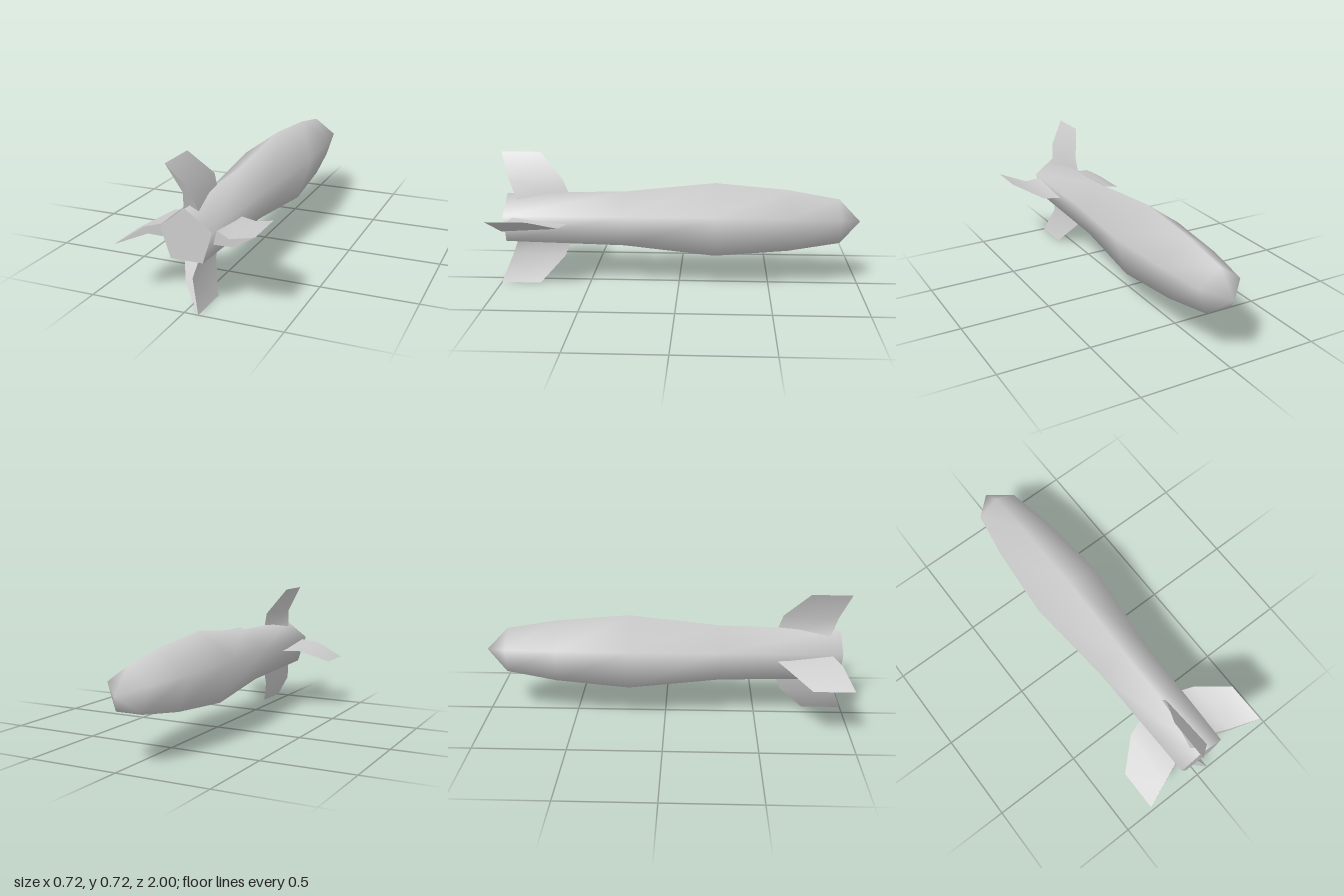
import * as THREE from 'three';
import { mergeGeometries, mergeVertices } from 'three/addons/utils/BufferGeometryUtils.js';

const CENTRE_Y = 0.362;

// Smooth-shaded panel: a triangle fan around its first corner
function panel(corners) {
  const geometry = new THREE.BufferGeometry();
  geometry.setAttribute('position', new THREE.Float32BufferAttribute(corners.flat(), 3));
  const index = [];
  for (let i = 1; i < corners.length - 1; i++) index.push(0, i, i + 1);
  geometry.setIndex(index);
  geometry.computeVertexNormals();
  return geometry;
}

// Wedge-shaped tail fin pointing up: sharp leading edge, thick trailing face, tip swept sideways
function finGeometry() {
  const L0 = [0, 0.1, 0.6], L1 = [0, 0.219, 0.645];              // leading edge
  const T0 = [-0.073, 0.361, 0.78], T1 = [-0.073, 0.361, 1];     // tip edge
  const RL = [-0.041, 0.105, 0.897], RR = [0.041, 0.105, 0.897]; // trailing root
  const ML = [-0.018, 0.21, 0.94], MR = [0.016, 0.228, 0.947];   // trailing bend
  return mergeGeometries([
    panel([ML, T1, T0, L1, L0, RL]), // one side
    panel([MR, RR, L0, L1, T0, T1]), // other side
    panel([ML, RL, RR, MR, T1]),     // trailing face
    panel([L0, RR, RL]),             // root
  ]);
}

// Five-sided body along -z, with the seam and nose tip welded so shading runs smoothly over them
function bodyGeometry() {
  const profile = [
    [0.141, -0.96], [0.157, -0.3], [0.21, 0.2], [0.175, 0.6], [0.126, 0.88], [0, 1],
  ].map(([radius, forward]) => new THREE.Vector2(radius, forward));
  const lathe = new THREE.LatheGeometry(profile, 5).rotateX(-Math.PI / 2);
  lathe.deleteAttribute('normal');
  lathe.deleteAttribute('uv');
  const geometry = mergeVertices(lathe, 1e-4);
  // Drop the empty triangles at the nose tip
  const old = geometry.index.array, index = [];
  for (let i = 0; i < old.length; i += 3) {
    const corners = [old[i], old[i + 1], old[i + 2]];
    if (new Set(corners).size === 3) index.push(...corners);
  }
  geometry.setIndex(index);
  geometry.computeVertexNormals();
  return geometry;
}

export function createModel() {
  const model = new THREE.Group();
  model.name = 'finnedBomb';
  const grey = new THREE.MeshStandardMaterial({ color: 0xcccccc, side: THREE.DoubleSide });
  grey.name = 'plain grey';

  const body = new THREE.Mesh(bodyGeometry(), grey);
  body.name = 'body';
  body.position.y = CENTRE_Y;
  model.add(body);

  // Flat pentagonal tail plate
  const tail = new THREE.Mesh(new THREE.CircleGeometry(0.141, 5, Math.PI / 2), grey);
  tail.name = 'tailPlate';
  tail.position.set(0, CENTRE_Y, 0.96);
  model.add(tail);

  // Four fins around the tail, counted anticlockwise as seen from the front
  const fin = finGeometry();
  ['topFin', 'rightFin', 'bottomFin', 'leftFin'].forEach((name, i) => {
    const mesh = new THREE.Mesh(fin, grey);
    mesh.name = name;
    mesh.position.y = CENTRE_Y;
    mesh.rotation.z = i * Math.PI / 2;
    model.add(mesh);
  });
  return model;
}
